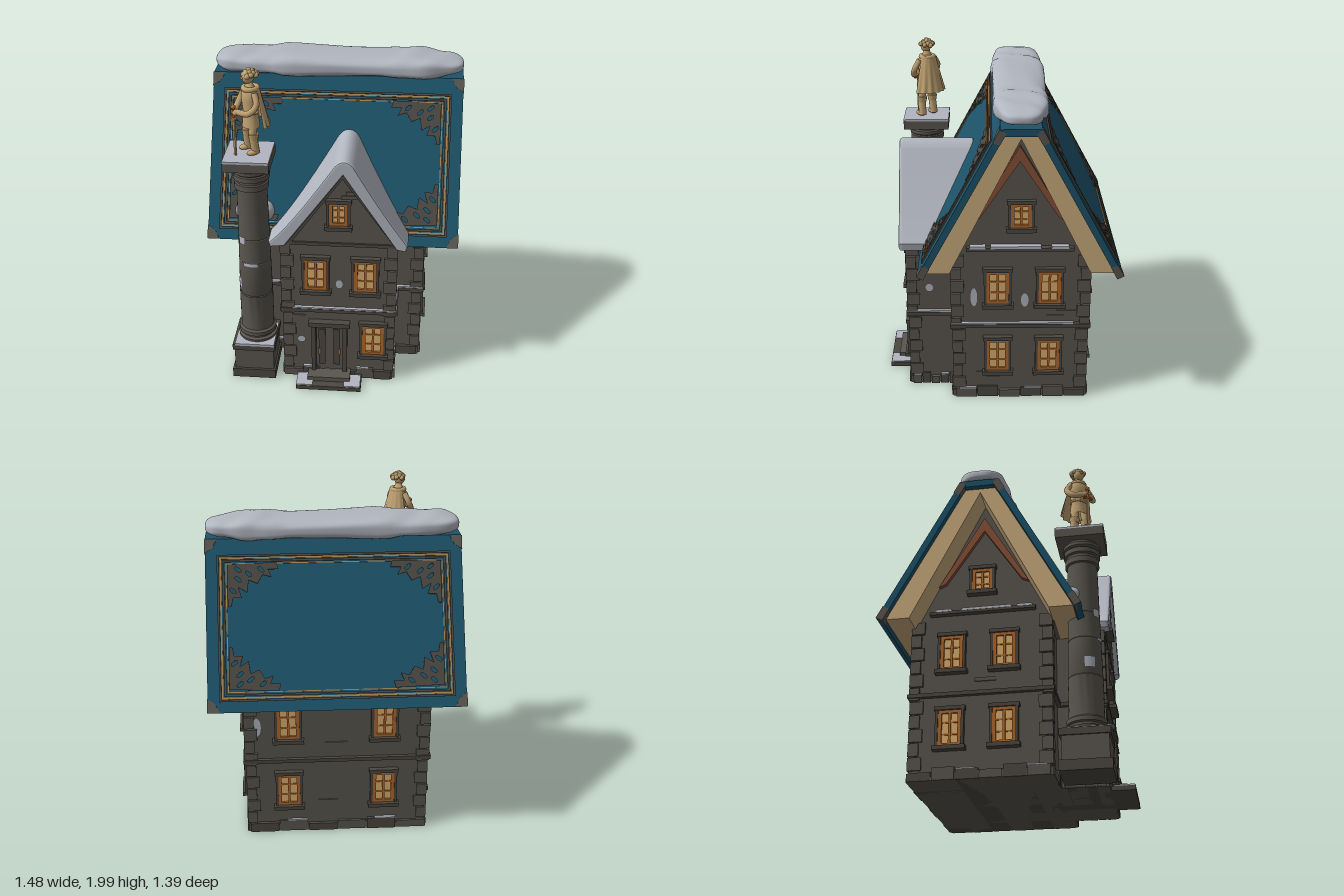
import * as THREE from 'three';
import { toCreasedNormals } from 'three/addons/utils/BufferGeometryUtils.js';

const mat = (name, color, side = THREE.FrontSide) =>
  Object.assign(new THREE.MeshStandardMaterial({ color, side }), { name });
const stone = mat('stone', 0x5a564f), trim = mat('dark stone', 0x4c4842), snow = mat('snow', 0xb2b6c0),
  teal = mat('teal cover', 0x1d5269), paper = mat('paper', 0xcbac7e), rust = mat('rust leather', 0x8a5238),
  orange = mat('orange wood', 0xb0682c), glow = mat('lit glass', 0xdcb070),
  bronze = mat('statue tan', 0xc0a272, THREE.DoubleSide), gilt = mat('gilt', 0xa88450);

function add(parent, name, geo, material, x = 0, y = 0, z = 0) {
  const m = new THREE.Mesh(geo, material);
  m.name = name;
  m.position.set(x, y, z);
  parent.add(m);
  return m;
}
// box given by its two opposite corners
const span = (p, name, m, x0, x1, y0, y1, z0, z1) =>
  add(p, name, new THREE.BoxGeometry(x1 - x0, y1 - y0, z1 - z0), m, (x0 + x1) / 2, (y0 + y1) / 2, (z0 + z1) / 2);
const poly = pts => new THREE.Shape(pts.map(([x, y]) => new THREE.Vector2(x, y)));
const extrude = (shape, depth, opts = {}) => new THREE.ExtrudeGeometry(shape, { depth, bevelEnabled: false, ...opts });
const lathe = (pts, n) => new THREE.LatheGeometry(pts.map(p => new THREE.Vector2(...p)), n);
// closed chevron: outer half-profile mirrored, then inner half-profile back
function chevron(outer, inner) {
  const flip = a => a.map(([x, y]) => [-x, y]);
  return poly([...flip(outer), ...[...outer].reverse().filter(p => p[0] > 0),
    ...inner, ...flip([...inner].reverse()).filter(p => p[0] < 0)]);
}
// extrude a (z, y) profile symmetrically along x
const alongX = (shape, half) => extrude(shape, 2 * half).translate(0, 0, -half).rotateY(-Math.PI / 2);

function group(parent, name, x, y, z, ry = 0) {
  const g = new THREE.Group();
  g.name = name;
  g.position.set(x, y, z);
  g.rotation.y = ry;
  parent.add(g);
  return g;
}

// soft lumpy drift, squarer along x as endPower falls
function drift(rx, ry, rz, lump, endPower, power) {
  const g = new THREE.SphereGeometry(1, 80, 48).rotateZ(Math.PI / 2), p = g.attributes.position;
  const sq = (v, k) => Math.sign(v) * Math.abs(v) ** k;
  for (let i = 0; i < p.count; i++) {
    const x = sq(p.getX(i), endPower) * rx, y = p.getY(i), z = p.getZ(i);
    const n = 1 + lump * (Math.sin(x * 17) + 0.7 * Math.sin(x * 31 + z * 4 + 1) + 0.4 * Math.sin(x * 9 + y * 5));
    p.setXYZ(i, x, sq(y, power) * ry * n, sq(z, power) * rz * (1 + (n - 1) * 0.4));
  }
  g.computeVertexNormals();
  return g;
}

function addWindow(parent, x, y, z, ry, w, h) {
  const g = group(parent, 'window', x, y, z, ry);
  span(g, 'glass', glow, -w / 2, w / 2, -h / 2, h / 2, 0, 0.008);
  for (const s of [-1, 1]) {
    add(g, 'frameSide', new THREE.BoxGeometry(0.02, h, 0.02), orange, s * (w / 2 - 0.01), 0, 0.01);
    add(g, 'frameRail', new THREE.BoxGeometry(w, 0.018, 0.02), orange, 0, s * (h / 2 - 0.009), 0.01);
    add(g, 'glazingBar', new THREE.BoxGeometry(w, 0.009, 0.013), orange, 0, s * h / 6, 0.0065);
    add(g, 'jamb', new THREE.BoxGeometry(0.016, h + 0.03, 0.03), trim, s * (w / 2 + 0.008), 0, 0.012);
  }
  add(g, 'mullion', new THREE.BoxGeometry(0.014, h, 0.018), orange, 0, 0, 0.008);
  add(g, 'lintel', new THREE.BoxGeometry(w + 0.045, 0.022, 0.034), trim, 0, h / 2 + 0.011, 0.014);
  add(g, 'sill', new THREE.BoxGeometry(w + 0.055, 0.024, 0.046), trim, 0, -h / 2 - 0.012, 0.02);
}

function buildWalls(house) {
  const w = group(house, 'walls', 0, 0, 0);
  for (const [x0, x1, z0, z1] of [[-0.54, 0.53, -0.52, 0.27], [-0.28, 0.375, 0.2, 0.54]]) {
    span(w, 'wall', stone, x0, x1, 0, 0.96, z0, z1);
    span(w, 'plinth', stone, x0 - 0.01, x1 + 0.005, 0, 0.045, z0 - 0.01, z1 + 0.01);
    span(w, 'floorLedge', trim, x0 - 0.025, x1 + 0.025, 0.485, 0.508, z0 - 0.022, z1 + 0.022);
    span(w, 'ledgeSnow', snow, x0 + 0.05, x1 + 0.02, 0.508, 0.516, z0 + 0.08, z1 + 0.02);
    // uneven footing stones with a little snow
    for (let i = 0; i < 6; i++) {
      const fx = (x1 - x0) / 6, fz = (z1 - z0) / 6, h = 0.048 + 0.012 * ((i * 5) % 3), o = 0.014 + 0.005 * (i % 2);
      const a = x0 + i * fx, b = z0 + i * fz;
      span(w, 'footingStone', i % 2 ? trim : stone, a, a + fx - 0.006, 0, h, z0 - o, z1 + o);
      span(w, 'footingStone', i % 2 ? stone : trim, x0 - o, x1 + o, 0, h, b, b + fz - 0.006);
      if (i % 3 === 1) span(w, 'footingSnow', snow, a, a + fx * 0.7, h, h + 0.006, z0 - o, z1 + o);
      if (i % 3 === 2) span(w, 'footingSnow', snow, x0 - o, x1 + o, h, h + 0.006, b, b + fz * 0.8);
    }
  }
  // corner stones: [x, z, inward x, inward z]
  for (const [x, z, ix, iz] of [[-0.54, -0.52, 1, 1], [0.53, -0.52, -1, 1], [0.53, 0.27, -1, -1],
    [-0.54, 0.27, 1, -1], [-0.28, 0.54, 1, -1], [0.375, 0.54, -1, -1]])
    for (let i = 0; i < 11; i++) {
      const a = i % 2 ? 0.078 : 0.06, b = i % 2 ? 0.06 : 0.078, y = 0.1 + i * 0.082, o = i > 4 ? 0.016 : 0.01;
      add(w, 'cornerStone', new THREE.BoxGeometry(a, 0.074, b), stone, x + ix * (a / 2 - o), y, z + iz * (b / 2 - o));
    }
  // end gables and front gable
  const tri = poly([[-0.41, 0.92], [0.41, 0.92], [0, 1.73]]);
  add(w, 'endGables', alongX(tri, 0.535), stone, 0, 0, -0.115);
  add(w, 'frontGable', extrude(poly([[-0.3, 0.95], [0.41, 0.95], [0.08, 1.47]]), 0.4), stone, 0, 0, 0.145);
  add(w, 'gableCoping', extrude(chevron([[0.35, 0.965], [0, 1.46]], [[0.3, 0.965], [0, 1.39]]), 0.3), trim, 0.07, 0, 0.26);
  span(w, 'gableSill', trim, -0.27, 0.385, 0.95, 0.97, 0.5, 0.556);
  for (const s of [-1, 1]) {
    span(w, 'gableLedge', trim, s * 0.55 - 0.02, s * 0.55 + 0.02, 0.995, 1.015, -0.43, 0.19);
    for (const [a, b] of [[-0.4, -0.3], [-0.24, 0.05], [0.08, 0.17]])
      span(w, 'gableLedgeSnow', snow, s * 0.55 - 0.021, s * 0.55 + 0.021, 1.011, 1.026, a, b);
  }
  // windows
  for (const s of [-1, 1]) {
    const ry = s * Math.PI / 2, x = s > 0 ? 0.53 : -0.54;
    for (const z of [0.01, -0.295]) for (const y of [0.295, 0.75]) addWindow(w, x, y, z, ry, 0.13, 0.21);
    addWindow(w, s * 0.535, 1.21, -0.125, ry, 0.12, 0.145);
    for (const y of [0.295, 0.75]) addWindow(w, s * 0.285, y, -0.52, Math.PI, 0.13, 0.21);
  }
  for (const [x, y] of [[-0.088, 0.75], [0.205, 0.75], [0.257, 0.295]]) addWindow(w, x, y, 0.54, 0, 0.13, 0.21);
  addWindow(w, 0.047, 1.165, 0.545, 0, 0.105, 0.145);
  // raised bricks and snow patches: [x, y, z, turn, width]
  for (const [x, y, z, r, l] of [[0.11, 1.27, 0.546, 0, 0.09], [0.12, 1.295, 0.546, 0, 0.06], [-0.2, 0.44, 0.541, 0, 0.1],
    [0.531, 0.16, 0.08, 1, 0.12], [0.531, 0.13, 0.04, 1, 0.08], [0.531, 0.58, -0.4, 1, 0.13], [0.531, 0.55, -0.33, 1, 0.1],
    [-0.541, 0.58, -0.1, 1, 0.12], [0, 0.6, -0.521, 0, 0.13], [0.05, 0.2, -0.521, 0, 0.12]])
    add(w, 'brick', new THREE.BoxGeometry(l, 0.022, 0.012), stone, x, y, z).rotation.y = r * Math.PI / 2;
  for (const [x, y, z, ry, a, b] of [[0.05, 0.68, 0.542, 0, 0.02, 0.028], [-0.18, 0.27, 0.542, 0, 0.022, 0.02],
    [0.532, 0.68, 0.15, 1, 0.02, 0.06], [0.532, 0.66, -0.15, 1, 0.022, 0.045], [0.377, 0.665, 0.42, 1, 0.022, 0.025],
    [0.47, 0.72, -0.522, 2, 0.025, 0.06]]) {
    const m = add(w, 'snowPatch', new THREE.CircleGeometry(1, 20).scale(a, b, 1), snow, x, y, z);
    m.rotation.y = ry * Math.PI / 2;
  }
}

function buildDoor(house) {
  const d = group(house, 'door', -0.008, 0, 0.54);
  span(d, 'doorLeaf', stone, -0.08, 0.08, 0.06, 0.39, 0, 0.012);
  for (const s of [-1, 1]) {
    span(d, 'doorPost', trim, s * 0.095 - 0.013, s * 0.095 + 0.013, 0.06, 0.4, 0, 0.035);
    span(d, 'doorPanel', trim, s * 0.045 - 0.02, s * 0.045 + 0.02, 0.1, 0.36, 0.01, 0.02);
    span(d, 'doorHandle', orange, s * 0.06 - 0.008, s * 0.06 + 0.008, 0.18, 0.22, 0.01, 0.028);
  }
  span(d, 'doorLintel', trim, -0.125, 0.125, 0.39, 0.42, 0, 0.045);
  span(d, 'lowerStep', trim, -0.195, 0.2, 0, 0.028, 0, 0.15);
  span(d, 'upperStep', stone, -0.13, 0.13, 0.028, 0.058, 0, 0.1);
  for (const s of [-1, 1]) span(d, 'stepSnow', snow, s * 0.145 - 0.05, s * 0.145 + 0.05, 0.027, 0.035, 0.03, 0.147);
}

// jagged corner ornament, sx and sy choose the corner
function ornament(sx, sy) {
  const pt = ([x, y]) => [x * sx, y * sy];
  const s = poly([[0, 0], [-0.28, 0.01], [-0.29, -0.03], [-0.23, -0.03], [-0.25, -0.075], [-0.2, -0.06], [-0.17, -0.11],
    [-0.12, -0.09], [-0.11, -0.16], [-0.06, -0.13], [-0.08, -0.19], [-0.03, -0.19], [-0.02, -0.24], [0, -0.24]].map(pt));
  for (const c of [[-0.19, -0.03], [-0.12, -0.055], [-0.03, -0.15], [-0.06, -0.085], [-0.06, -0.03]]) {
    const [x, y] = pt(c);
    s.holes.push(new THREE.Path().absellipse(x, y, 0.022, 0.01, 0, Math.PI * 2, true, sx * sy * 0.7));
  }
  return extrude(s, 0.008, { curveSegments: 8 });
}

function buildRoof(house) {
  const r = group(house, 'bookRoof', 0, 0, -0.115);
  add(r, 'cover', alongX(chevron([[0.582, 0.915], [0.112, 1.785]], [[0.547, 0.9], [0.09, 1.745]]), 0.735), teal);
  add(r, 'pages', alongX(chevron([[0.545, 0.92], [0.092, 1.747]], [[0.4, 0.92], [0, 1.72]]), 0.7), paper);
  add(r, 'innerBinding', alongX(chevron([[0.268, 1.18], [0, 1.63]], [[0.225, 1.2], [0, 1.54]]), 0.56), rust);
  for (const ry of [0, Math.PI]) {
    const side = group(r, 'coverFace', 0, 0, 0, ry), f = group(side, 'coverDecoration', 0, 1.35, 0.3475);
    f.rotation.x = -Math.atan2(0.47, 0.87);
    // nested border lines
    for (const [a, t, m, d] of [[0.663, 0.012, trim, 0.008], [0.649, 0.009, gilt, 0.007], [0.633, 0.012, trim, 0.008],
      [0.617, 0.005, gilt, 0.006]]) {
      const v = a - 0.252;
      for (const s of [-1, 1]) {
        add(f, 'borderSide', new THREE.BoxGeometry(t, 2 * v, d), m, s * a, -0.015, d / 2);
        add(f, 'borderRail', new THREE.BoxGeometry(2 * a + t, t, d), m, 0, s * v - 0.015, d / 2);
      }
    }
    for (const sx of [-1, 1]) for (const sy of [-1, 1]) {
      add(f, 'cornerOrnament', ornament(sx, sy), trim, sx * 0.61, sy * 0.355 - 0.01, 0);
      const cap = poly([[0, 0], [-0.07, 0], [-0.045, -0.05], [0, -0.08]].map(([x, y]) => [x * sx, y * sy]));
      add(f, 'cornerCap', extrude(cap, 0.043), stone, sx * 0.738, sy * 0.492, -0.04);
    }
  }
  add(house, 'ridgeSnow', drift(0.735, 0.062, 0.157, 0.09, 0.4, 0.62), snow, 0, 1.832, -0.12);
  // snow over the front gable, running back into the main roof
  const s = new THREE.Shape();
  s.moveTo(-0.345, 0.975);
  s.bezierCurveTo(-0.25, 1.06, -0.11, 1.26, 0.03, 1.47);
  s.quadraticCurveTo(0.08, 1.535, 0.13, 1.465);
  s.bezierCurveTo(0.22, 1.31, 0.31, 1.16, 0.435, 0.985);
  s.lineTo(0.43, 0.957);
  s.lineTo(0.39, 0.965);
  s.lineTo(0.075, 1.44);
  s.lineTo(-0.27, 0.965);
  s.lineTo(-0.34, 0.957);
  add(house, 'gableSnow', extrude(s, 0.4, { curveSegments: 16, bevelEnabled: true, bevelSize: 0.012,
    bevelThickness: 0.02, bevelSegments: 3 }), snow, 0, 0, 0.168);
  add(house, 'cornerDrift', drift(0.115, 0.07, 0.09, 0.03, 0.9, 0.9), snow, -0.46, 1.07, 0.38);
}

function buildColumn(house) {
  const c = group(house, 'column', -0.47, 0, 0.455);
  span(c, 'footing', trim, -0.135, 0.13, 0, 0.06, -0.145, 0.145);
  span(c, 'pedestal', stone, -0.12, 0.12, 0.06, 0.2, -0.13, 0.13);
  span(c, 'pedestalCap', trim, -0.13, 0.13, 0.2, 0.24, -0.14, 0.14);
  span(c, 'pedestalSnow', snow, -0.115, 0.125, 0.235, 0.25, -0.1, 0.143);
  const profile = [[0.115, 0.24], [0.118, 0.265], [0.1, 0.272], [0.1, 0.285], [0.114, 0.29], [0.114, 0.315], [0.1, 0.325],
    [0.1, 0.565], [0.095, 0.57], [0.099, 0.58], [0.095, 0.79], [0.092, 0.795], [0.095, 0.8], [0.092, 0.95], [0.089, 0.955],
    [0.092, 0.96], [0.088, 1.275], [0.1, 1.28], [0.1, 1.315], [0.092, 1.32], [0.092, 1.335], [0.106, 1.34], [0.106, 1.37],
    [0.098, 1.375], [0.11, 1.385], [0.11, 1.405], [0.095, 1.41], [0.095, 1.43]];
  add(c, 'shaft', toCreasedNormals(lathe(profile, 32), 0.5), stone, 0.01);
  // snow clinging to the shaft: [y, height, start angle, arc]
  for (const [y, h, a, arc] of [[0.95, 0.05, -0.9, 0.5], [0.79, 0.02, -0.6, 0.9], [0.64, 0.06, -1.5, 0.6], [1.1, 0.05, 1.9, 0.8]])
    add(c, 'shaftSnow', new THREE.CylinderGeometry(0.099, 0.1, h, 10, 1, true, a, arc), snow, 0.01, y, 0);
  span(c, 'capital', stone, -0.13, 0.132, 1.425, 1.478, -0.142, 0.142);
  span(c, 'capitalSnow', snow, -0.13, 0.131, 1.478, 1.491, -0.143, 0.143);
}

function buildStatue(house) {
  const s = group(house, 'statue', -0.45, 1.49, 0.445, -0.93);
  const limb = (name, pts, r) => add(s, name, new THREE.TubeGeometry(
    new THREE.CatmullRomCurve3(pts.map(p => new THREE.Vector3(...p))), 10, r, 10), bronze);
  const ball = (name, r, x, y, z, sx = 1, sy = 1, sz = 1) =>
    add(s, name, new THREE.SphereGeometry(r, 14, 10).scale(sx, sy, sz), bronze, x, y, z);
  for (const k of [-1, 1]) {
    limb('leg', [[k * 0.03, 0.22, 0], [k * 0.038, 0.12, 0.01], [k * 0.043, 0.01, 0]], 0.024);
    ball('boot', 0.028, k * 0.045, 0.016, 0.018, 0.8, 0.6, 1.4);
    add(s, 'bootCuff', new THREE.CylinderGeometry(0.031, 0.026, 0.035, 12), bronze, k * 0.038, 0.11, 0.008);
    limb('arm', [[k * 0.055, 0.37, 0], [k * 0.088, 0.31, 0.01], [k * 0.068, 0.265, 0.05], [k * 0.012, 0.265, 0.09]], 0.018);
    ball('hand', 0.018, k * 0.01, 0.262, 0.095);
  }
  const tunic = [[0.06, 0.16], [0.056, 0.2], [0.048, 0.25], [0.058, 0.32], [0.058, 0.37], [0.028, 0.4], [0.02, 0.43]];
  add(s, 'tunic', lathe(tunic, 18).scale(1, 1, 0.8), bronze);
  add(s, 'belt', new THREE.TorusGeometry(0.049, 0.008, 6, 18).rotateX(Math.PI / 2).scale(1, 1, 0.82), bronze, 0, 0.25, 0);
  // cape wraps the back half with folds
  const cape = new THREE.CylinderGeometry(0.05, 0.108, 0.225, 32, 6, true, Math.PI * 0.55, Math.PI * 0.9), p = cape.attributes.position;
  for (let i = 0; i < p.count; i++) {
    const a = Math.atan2(p.getX(i), p.getZ(i)), k = 1 + 0.06 * Math.sin(a * 14) * (0.5 - p.getY(i) * 4);
    p.setXYZ(i, p.getX(i) * k, p.getY(i), p.getZ(i) * k * 0.85);
  }
  cape.computeVertexNormals();
  add(s, 'cape', cape, bronze, 0, 0.282, -0.01);
  add(s, 'collar', new THREE.TorusGeometry(0.038, 0.016, 8, 18).rotateX(Math.PI / 2), bronze, 0, 0.385, -0.005);
  ball('head', 0.036, 0, 0.453, 0.008, 0.9, 1.15, 1);
  ball('nose', 0.008, 0, 0.45, 0.045);
  for (let i = 0; i < 18; i++) {
    const a = i * 2.4, r = 0.042 * Math.sqrt((i + 0.5) / 18);
    ball('curl', 0.015, r * Math.sin(a), 0.495 - r * 0.8, r * Math.cos(a) - 0.006);
  }
  add(s, 'swordBlade', new THREE.BoxGeometry(0.018, 0.22, 0.01), bronze, 0, 0.115, 0.105);
  add(s, 'swordGuard', new THREE.BoxGeometry(0.06, 0.012, 0.014), orange, 0, 0.228, 0.105);
  add(s, 'swordGrip', new THREE.CylinderGeometry(0.008, 0.008, 0.06, 8), orange, 0, 0.26, 0.105);
  add(s, 'swordPommel', new THREE.SphereGeometry(0.014, 10, 8), orange, 0, 0.295, 0.105);
}

export function createModel() {
  const house = new THREE.Group();
  house.name = 'bookRoofHouse';
  for (const build of [buildWalls, buildDoor, buildRoof, buildColumn, buildStatue]) build(house);
  return house;
}
